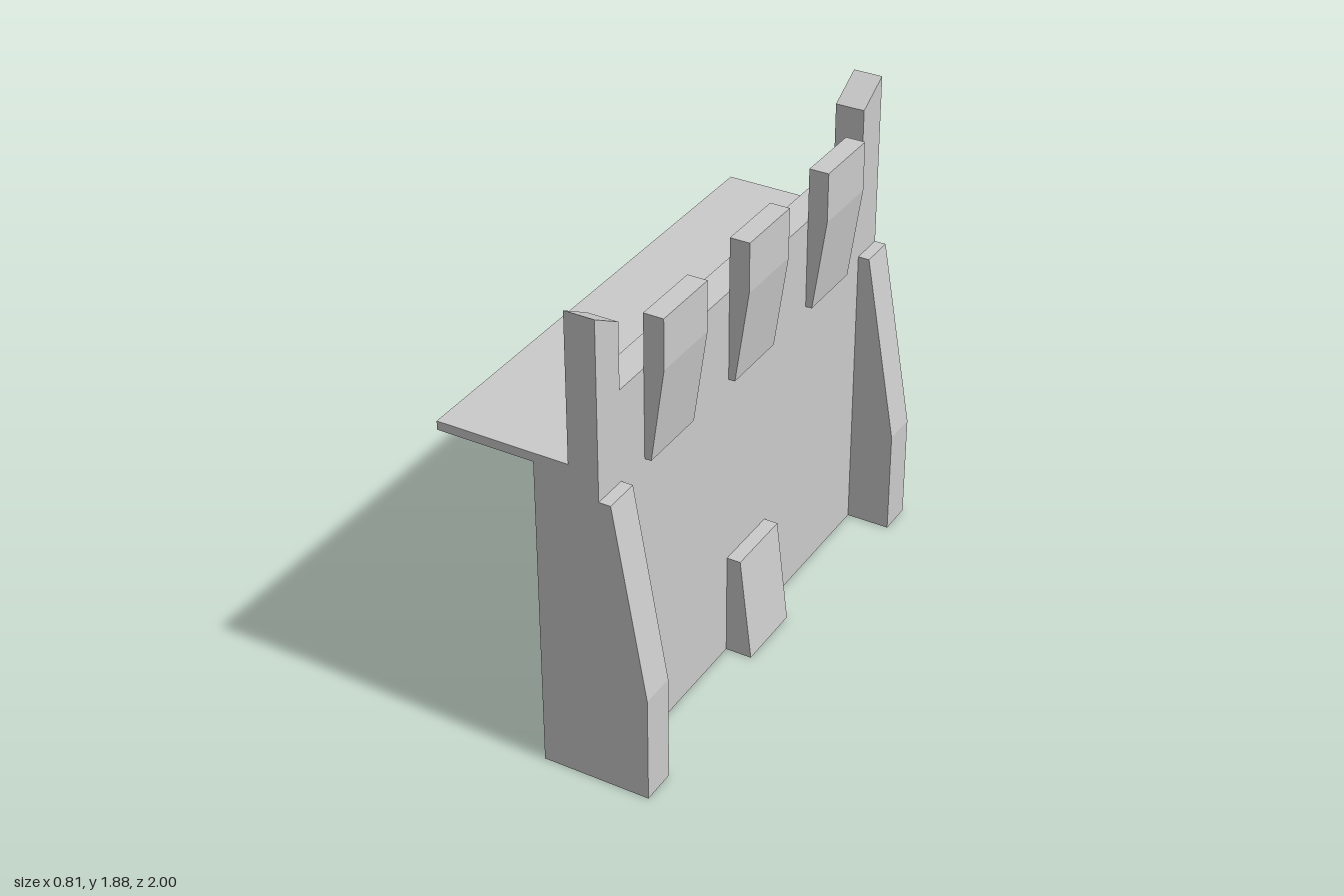
import * as THREE from 'three';

const material = new THREE.MeshStandardMaterial({ color: 0xcccccc, flatShading: true, side: THREE.DoubleSide });

// Extrude an x-y profile from z0 to z1, leaving out the triangles that drop(corners) picks.
function prism(name, points, z0, z1, drop = () => false) {
  const shape = new THREE.Shape(points.map(([x, y]) => new THREE.Vector2(x, y)));
  const source = new THREE.ExtrudeGeometry(shape, { depth: z1 - z0, bevelEnabled: false });
  source.translate(0, 0, z0);
  const pos = source.getAttribute('position');
  const kept = [];
  for (let i = 0; i < pos.count; i += 3) {
    const tri = [0, 1, 2].map(k => new THREE.Vector3().fromBufferAttribute(pos, i + k));
    if (!drop(tri)) tri.forEach(v => kept.push(v.x, v.y, v.z));
  }
  const geometry = new THREE.BufferGeometry();
  geometry.setAttribute('position', new THREE.Float32BufferAttribute(kept, 3));
  geometry.computeVertexNormals();
  const mesh = new THREE.Mesh(geometry, material);
  mesh.name = name;
  return mesh;
}

const on = (tri, axis, value) => tri.every(v => Math.abs(v[axis] - value) < 1e-4);
const bottom = tri => on(tri, 'y', 0);

export function createModel() {
  const group = new THREE.Group();
  group.name = 'battlementWall';

  const BACK = -0.025, FACE = 0.225, INNER = 0.86, LEDGE = 1.19;

  // Hollow wall with a stepped parapet, open underneath
  const wall = [[BACK, 0], [FACE, 0], [FACE, LEDGE], [FACE, 1.545], [0.11, 1.545], [0.11, 1.3], [BACK, 1.3]];
  group.add(prism('wall', wall, -INNER, INNER,
    t => bottom(t) || on(t, 'z', INNER) || on(t, 'z', -INNER)));

  const buttress = [[FACE, 0], [0.4, 0], [0.4, 0.43], [0.27, LEDGE], [FACE, LEDGE]];
  for (const side of [1, -1]) {
    const z0 = side > 0 ? INNER : -1;
    const z1 = z0 + 1 - INNER;

    // Wall end, opening into the buttress
    group.add(prism('wallEnd', wall, z0, z1, t => bottom(t) || on(t, 'z', side * INNER) ||
      (on(t, 'x', FACE) && t.every(v => v.y < LEDGE + 0.01))));

    // Tapered corner buttress
    group.add(prism('buttress', buttress, z0, z1, t => bottom(t) || on(t, 'x', FACE)));

    // Corner post with a top that slopes up to the outside
    const post = prism('cornerPost', [[0.11, 1.545], [FACE, 1.545], [FACE, 1.8], [0.11, 1.8]], z0, z1,
      t => on(t, 'y', 1.545));
    const p = post.geometry.getAttribute('position');
    for (let i = 0; i < p.count; i++) {
      if (p.getY(i) > 1.7 && Math.abs(p.getZ(i)) > 0.95) p.setY(i, 1.88);
    }
    post.geometry.computeVertexNormals();
    group.add(post);
  }

  // Merlons hung on the outer face
  const merlon = [[FACE, LEDGE], [0.25, LEDGE], [0.302, 1.56], [0.302, 1.755], [FACE, 1.755]];
  for (const z of [-0.577, -0.003, 0.567]) {
    group.add(prism('merlon', merlon, z - 0.142, z + 0.142));
  }

  // Small sloped block at the foot of the wall
  group.add(prism('footBlock', [[FACE, 0], [0.33, 0], [0.28, 0.42], [FACE, 0.42]], -0.145, 0.139));

  // Walkway at the back
  group.add(prism('walkway', [[-0.405, 1.265], [BACK, 1.265], [BACK, 1.3], [-0.405, 1.3]], -1, 1));

  // Diagonal struts under the walkway
  const strut = [[BACK, 1.135], [BACK, 1.17], [-0.19, 1.265], [-0.245, 1.265]];
  for (const z of [-0.83, -0.28, 0.28, 0.83]) {
    group.add(prism('strut', strut, z - 0.03, z + 0.03));
  }

  return group;
}
